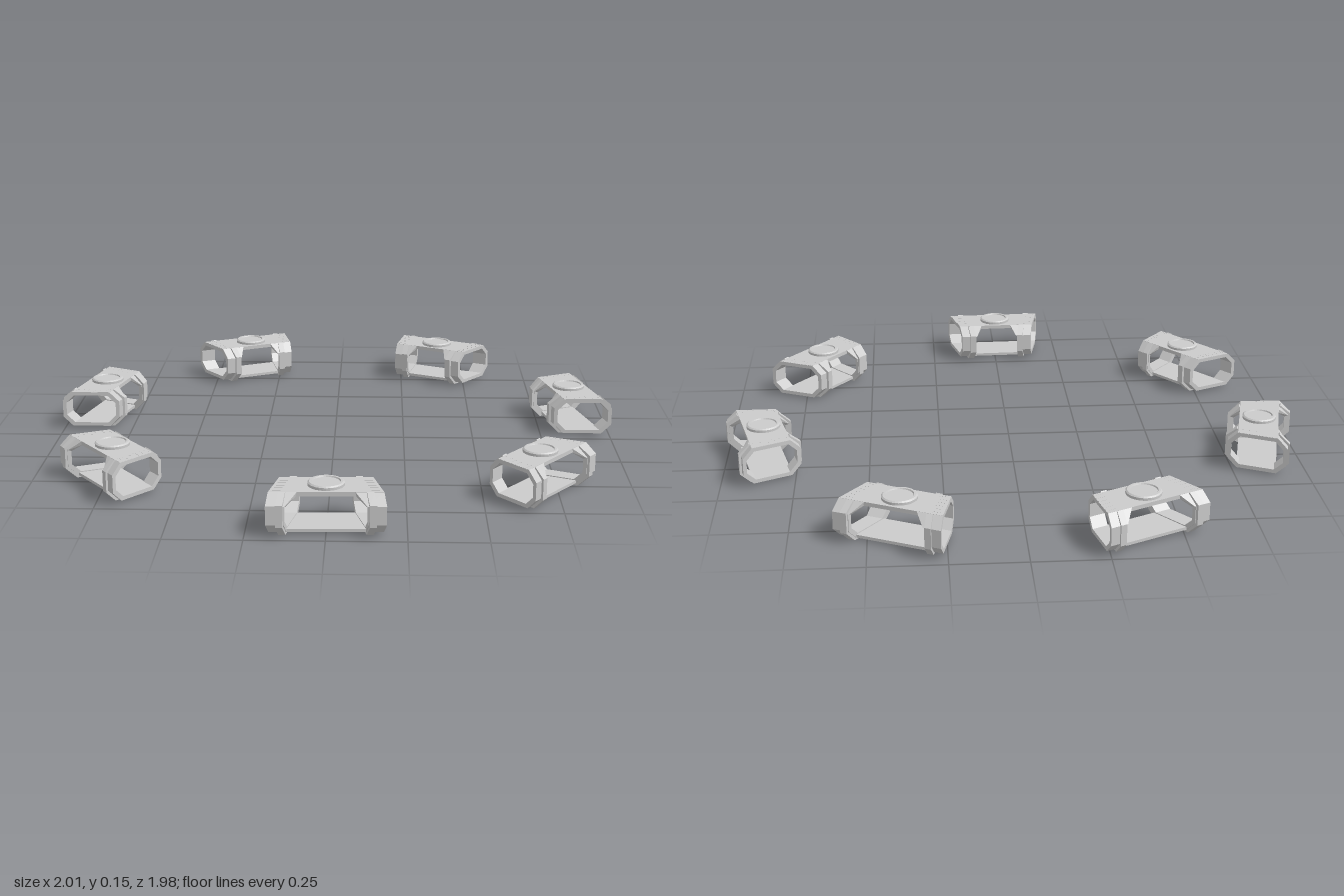
import * as THREE from 'three';
import { ConvexGeometry } from 'three/addons/geometries/ConvexGeometry.js';

const TAPER = 0.225;          // slant of the segment ends
const LOW = 0.008, TOP = 0.137, HALF = 0.102, CHAMFER = 0.034;
const mat = new THREE.MeshStandardMaterial({ color: 0xcccccc, flatShading: true });

function add(parent, geo, name) {
  const mesh = new THREE.Mesh(geo, mat);
  mesh.name = name;
  parent.add(mesh);
  return mesh;
}

const poly = (pts, Type = THREE.Shape) => new Type(pts.map(p => new THREE.Vector2(...p)));

// octagonal section shrunk by an inset
function octagon(inset) {
  const w = HALF - inset, a = LOW + inset, b = TOP - inset, c = CHAMFER - inset * 0.4;
  return [[-w + c, a], [w - c, a], [w, a + c], [w, b - c],
    [w - c, b], [-w + c, b], [-w, b - c], [-w, a + c]];
}

// run a section along x from x0 to x1 on one side, with slanted ends
function along(shape, side, x0, x1) {
  const geo = new THREE.ExtrudeGeometry(shape, { depth: x1 - x0, bevelEnabled: false });
  geo.rotateY(Math.PI / 2);
  geo.translate(side > 0 ? x0 : -x1, 0, 0);
  const p = geo.attributes.position;
  for (let i = 0; i < p.count; i++) p.setX(i, p.getX(i) + side * TAPER * p.getZ(i));
  geo.computeVertexNormals();
  return geo;
}

// horizontal plate drawn as (x, z)
function plate(shape, y, thickness) {
  const geo = new THREE.ExtrudeGeometry(shape, { depth: thickness, bevelEnabled: false });
  geo.rotateX(-Math.PI / 2);
  geo.translate(0, y, 0);
  return geo;
}

const plan = (x, z) => [[-x - TAPER * z, -z], [x + TAPER * z, -z], [x - TAPER * z, z], [-x + TAPER * z, z]];

function createSegment() {
  const g = new THREE.Group();
  const flat = HALF - CHAMFER;

  // top plate with a row of vent slots near each end
  const top = poly(plan(0.161, flat));
  for (const s of [-1, 1]) {
    for (let i = 0; i < 6; i++) {
      const z = -0.055 + i * 0.022, x = s * (0.139 - TAPER * z);
      top.holes.push(poly([[x - 0.013, z - 0.004], [x - 0.013, z + 0.004],
        [x + 0.013, z + 0.004], [x + 0.013, z - 0.004]], THREE.Path));
    }
  }
  add(g, plate(top, TOP - 0.013, 0.0135), 'topPlate');
  add(g, plate(poly(plan(0.161, flat)), LOW, 0.01), 'bottomPlate');

  // raised round cap
  const cap = [[0, 0.146], [0.044, 0.146], [0.046, 0.15], [0.053, 0.15], [0.058, 0.146], [0.058, 0.13]]
    .reverse().map(p => new THREE.Vector2(...p));
  add(g, new THREE.LatheGeometry(cap, 32), 'roundCap');

  for (const s of [-1, 1]) {
    // hollow octagonal end
    const ring = poly(octagon(0));
    ring.holes.push(poly(octagon(0.013), THREE.Path));
    add(g, along(ring, s, 0.106, 0.162), 'endPortal');

    // U-shaped bracket wrapped under the end, forming the feet
    const o = octagon(-0.008), n = octagon(0.004);
    const strap = poly([o[4], o[3], o[2], o[1], o[0], o[7], o[6], o[5],
      n[5], n[6], n[7], n[0], n[1], n[2], n[3], n[4]].map(([u, v]) => [u, Math.min(v, TOP + 0.002)]));
    add(g, along(strap, s, 0.108, 0.13), 'bracket');

    // sloped gussets between top plate and end
    for (const f of [-1, 1]) {
      const pts = [];
      for (const d of [0, 0.012]) {
        const zi = f * (flat - d * 0.4), zo = f * (HALF - d);
        const yi = TOP - d, yo = TOP - CHAMFER - d * 0.4;
        const xi = 0.108 + TAPER * zi, xo = 0.108 + TAPER * zo;
        pts.push([s * xi, yi, zi], [s * xo, yo, zo], [s * (xi - 0.034), yi, zi],
          [s * (xo - 0.006), yo, zo]);
      }
      add(g, new ConvexGeometry(pts.map(p => new THREE.Vector3(...p))), 'gusset');
    }
  }
  return g;
}

export function createModel() {
  const model = new THREE.Group();
  model.name = 'segmentRing';
  // seven segments spaced round a circle
  for (let i = 0; i < 7; i++) {
    const step = i * 51, a = THREE.MathUtils.degToRad(step + 0.24);
    const segment = createSegment();
    segment.name = 'segment' + (i + 1);
    segment.position.set(-0.005 + 0.888 * Math.sin(a), 0, -0.012 + 0.888 * Math.cos(a));
    segment.rotation.y = THREE.MathUtils.degToRad(step + 1.6);
    model.add(segment);
  }
  return model;
}
